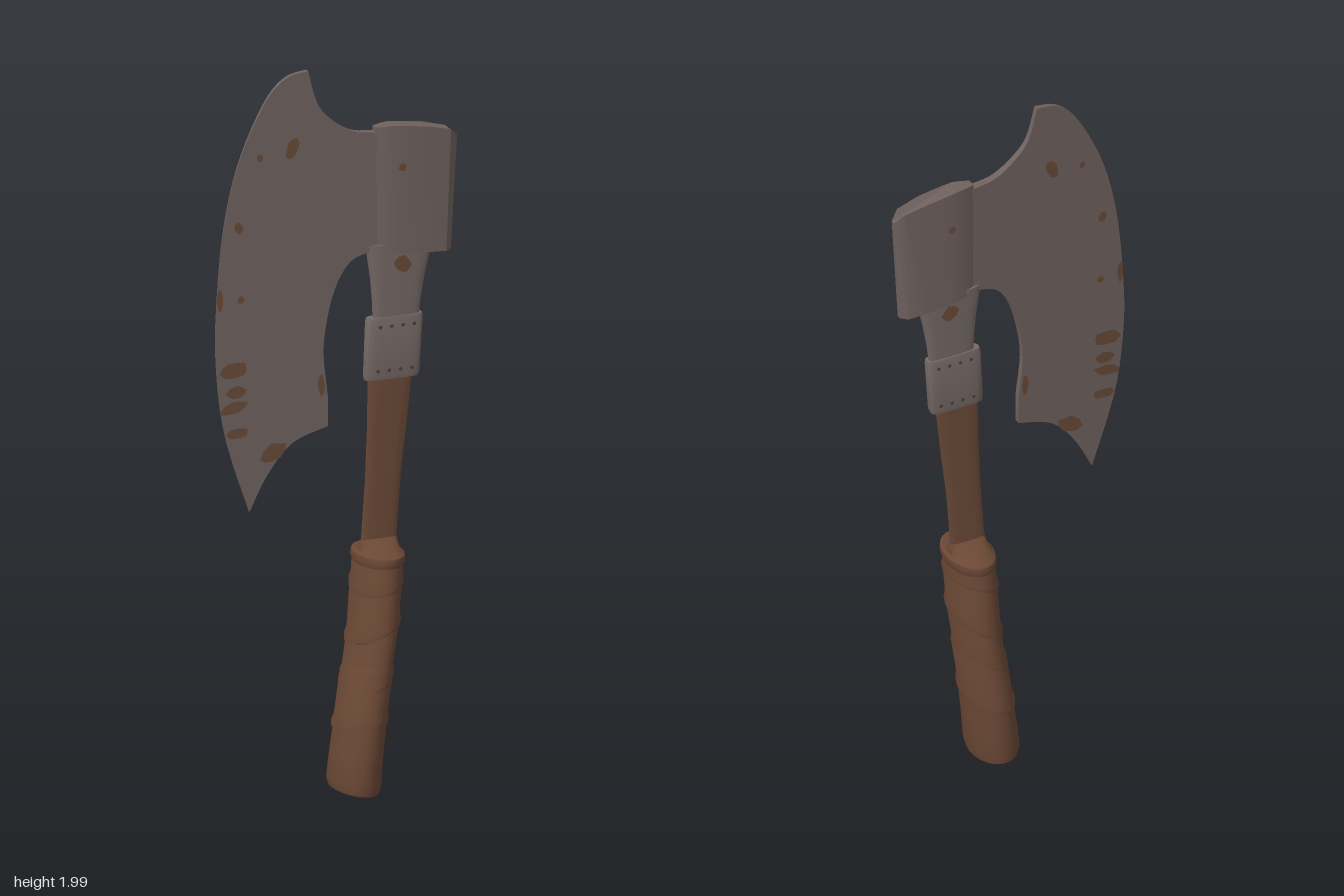
import * as THREE from 'three';
import { toCreasedNormals } from 'three/addons/utils/BufferGeometryUtils.js';

const mat = (name, color, side = THREE.FrontSide) => {
  const m = new THREE.MeshStandardMaterial({ color, side });
  m.name = name;
  return m;
};

// Piecewise linear lookup in a list of [input, output]
function lookup(table, v) {
  for (let i = 1; i < table.length; i++) {
    const [a, fa] = table[i - 1], [b, fb] = table[i];
    if (v <= b) return fa + (fb - fa) * Math.max(0, (v - a) / (b - a));
  }
  return table[table.length - 1][1];
}

// Closed loft through rings [y, centreX, radiusX, radiusZ, tiltX, tiltZ]; power < 1 squares the ring
function loft(rings, sides = 28, power = 1) {
  const pos = [], idx = [];
  const bend = (v) => Math.sign(v) * Math.abs(v) ** power;
  rings.forEach(([y, cx, rx, rz, tx = 0, tz = 0]) => {
    for (let j = 0; j < sides; j++) {
      const t = (j / sides) * Math.PI * 2, c = bend(Math.cos(t)), s = bend(Math.sin(t));
      pos.push(cx + rx * c, y + tx * c + tz * s, rz * s);
    }
  });
  const last = rings.length - 1, low = pos.length / 3, high = low + 1;
  pos.push(rings[0][1], rings[0][0], 0, rings[last][1], rings[last][0], 0);
  for (let j = 0; j < sides; j++) {
    const k = (j + 1) % sides;
    for (let i = 0; i < last; i++) {
      const a = i * sides + j, b = i * sides + k;
      idx.push(a, a + sides, b, b, a + sides, b + sides);
    }
    idx.push(low, j, k, high, last * sides + k, last * sides + j);
  }
  const g = new THREE.BufferGeometry();
  g.setAttribute('position', new THREE.Float32BufferAttribute(pos, 3));
  g.setIndex(idx);
  return toCreasedNormals(g, 0.7);
}

// Move every vertex by a rule
function warp(g, rule) {
  const p = g.attributes.position, v = new THREE.Vector3();
  for (let i = 0; i < p.count; i++) {
    rule(v.fromBufferAttribute(p, i));
    p.setXYZ(i, v.x, v.y, v.z);
  }
  g.computeVertexNormals();
  return g;
}

const bladeHalf = (x) => lookup([[-0.345, 0.001], [-0.1, 0.007], [0.1, 0.012], [0.2, 0.013]], x);

export function createModel() {
  const model = new THREE.Group();
  model.name = 'axe';
  const steel = mat('steel', 0x6f625e);
  const collarSteel = mat('collarSteel', 0x766a66);
  const darkSteel = mat('darkSteel', 0x4a403c);
  const rust = mat('rust', 0x674a36, THREE.DoubleSide);
  const wood = mat('wood', 0x6a4937);
  const leather = mat('leather', 0x6b4835);
  const add = (name, geometry, material, parent = model) => {
    const m = new THREE.Mesh(geometry, material);
    m.name = name;
    parent.add(m);
    return m;
  };
  const pts = (list) => list.map(([x, y]) => new THREE.Vector2(x, y));

  // Bearded blade, tapering to the cutting edge
  const outline = new THREE.Shape();
  outline.moveTo(-0.085, 2.0);
  outline.splineThru(pts([[-0.15, 1.985], [-0.21, 1.92], [-0.28, 1.77], [-0.322, 1.6], [-0.342, 1.4],
    [-0.345, 1.23], [-0.32, 1.03], [-0.25, 0.81]]));
  outline.splineThru(pts([[-0.2, 0.905], [-0.13, 0.985], [-0.03, 1.02]]));
  outline.splineThru(pts([[-0.03, 1.1], [-0.042, 1.24], [-0.015, 1.38], [0.03, 1.46], [0.08, 1.482]]));
  outline.lineTo(0.14, 1.48);
  outline.lineTo(0.14, 1.81);
  outline.lineTo(0.1, 1.81);
  outline.splineThru(pts([[0.04, 1.82], [-0.02, 1.86], [-0.06, 1.91], [-0.085, 2.0]]));
  const blade = new THREE.ExtrudeGeometry(outline, { depth: 1, bevelEnabled: false, curveSegments: 4 });
  warp(blade, (v) => { v.z = (v.z - 0.5) * 2 * bladeHalf(v.x); });
  add('blade', toCreasedNormals(blade, 0.5), steel);

  // Head socket: plan section extruded upward, its top and bottom sloping
  const plan = [[0.105, 0.011], [0.125, 0.018], [0.15, 0.023], [0.18, 0.025], [0.25, 0.0245], [0.315, 0.02], [0.338, 0.006]];
  const section = new THREE.Shape(pts([
    ...plan.map(([x, z]) => [x, -z]),
    ...plan.slice().reverse(),
  ]));
  const head = new THREE.ExtrudeGeometry(section, { depth: 1, bevelEnabled: false });
  head.rotateX(-Math.PI / 2);
  warp(head, (v) => {
    const low = lookup([[0.1, 1.482], [0.3, 1.462], [0.34, 1.465]], v.x);
    const high = lookup([[0.1, 1.822], [0.15, 1.825], [0.25, 1.812], [0.315, 1.795], [0.34, 1.77]], v.x);
    const t = v.y;
    v.y = low + (high - low) * t;
    // the poll leans inward toward the bottom
    if (v.x > 0.25) v.x -= 0.018 * (1 - t) * (v.x - 0.25) / 0.09;
  });
  add('head', toCreasedNormals(head, 0.45), steel);

  // Steel neck below the head and the riveted collar
  add('neck', loft([[1.27, 0.165, 0.063, 0.012], [1.34, 0.168, 0.068, 0.014],
    [1.41, 0.171, 0.077, 0.017], [1.5, 0.175, 0.094, 0.02]], 20, 0.55), collarSteel);
  add('collar', loft([[1.13, 0.152, 0.074, 0.016], [1.14, 0.153, 0.077, 0.018],
    [1.29, 0.161, 0.079, 0.018], [1.3, 0.162, 0.077, 0.016]], 24, 0.45), collarSteel);
  const rivets = new THREE.Group();
  rivets.name = 'rivets';
  model.add(rivets);
  for (const side of [-1, 1]) for (const y of [1.155, 1.275]) for (let i = 0; i < 4; i++) {
    const r = new THREE.CylinderGeometry(0.005, 0.005, 0.004, 8);
    r.rotateX(Math.PI / 2);
    add('rivet', r, darkSteel, rivets)
      .position.set(0.108 + i * 0.032 + (y - 1.15) * 0.06, y, side * 0.0175);
  }

  // Flat wooden haft
  add('haft', loft([[0.6, 0.112, 0.052, 0.012], [0.7, 0.118, 0.05, 0.01], [0.85, 0.129, 0.05, 0.01],
    [1.0, 0.141, 0.056, 0.011], [1.15, 0.15, 0.063, 0.012]], 20, 0.65), wood);

  // Leather grip: overlapping bands, each flared at its lower seam [low, high, tiltX, tiltZ, swell]
  const gripX = (y) => lookup([[0, 0.046], [0.2, 0.064], [0.45, 0.1], [0.66, 0.116]], y);
  const grip = new THREE.Group();
  grip.name = 'grip';
  model.add(grip);
  [[0.19, 0.36, 0.008, 0.012, 0.003], [0.31, 0.47, 0.03, -0.01, 0],
    [0.44, 0.6, 0.028, 0.012, 0.002], [0.57, 0.655, 0.018, -0.008, 0]].forEach(([lo, hi, tx, tz, swell]) => {
    const ring = (y, d, k = 1) => [y, gripX(y), 0.061 + d + swell, 0.097 + d + swell, tx * k, tz * k];
    const end = hi > 0.64 ? 0.1 : 0.7;
    add('gripBand', loft([ring(lo, -0.006), ring(lo + 0.003, 0.004), ring(lo + 0.016, 0.005),
      ring(lo + 0.035, 0), ring(hi - 0.02, 0, end), ring(hi, -0.006, end)]), leather, grip);
  });
  add('gripEnd', loft([[0.012, 0.046, 0.05, 0.085, -0.006, 0], [0.018, 0.046, 0.061, 0.094, -0.007, 0],
    [0.04, 0.047, 0.067, 0.098, -0.004, 0], [0.12, 0.055, 0.065, 0.097], [0.22, 0.068, 0.062, 0.096]]), leather, grip);
  // Raised rim and the leather drawn in around the haft
  add('gripRim', loft([[0.63, 0.114, 0.06, 0.095], [0.645, 0.115, 0.066, 0.101], [0.66, 0.116, 0.064, 0.098],
    [0.666, 0.116, 0.055, 0.085], [0.68, 0.117, 0.053, 0.04], [0.695, 0.118, 0.051, 0.013]]), leather, grip);

  // Rust patches on both faces [x, y, width, height, turn]
  const patches = new THREE.Group();
  patches.name = 'rustPatches';
  model.add(patches);
  const patch = ([x, y, w, h, turn = 0], half) => {
    for (const side of [-1, 1]) {
      const g = new THREE.CircleGeometry(0.5, 9);
      warp(g, (v) => {
        const k = 1 + 0.18 * Math.sin(v.x * 17 + v.y * 11 + y * 40);
        const px = v.x * w * k, py = v.y * h * k;
        v.x = x + px * Math.cos(turn) - py * Math.sin(turn);
        v.y = y + px * Math.sin(turn) + py * Math.cos(turn);
        v.z = side * (half(v.x) + 0.0012);
      });
      if (side < 0) {
        g.setIndex(Array.from(g.index.array).reverse());
        g.computeVertexNormals();
      }
      add('rustPatch', g, rust, patches);
    }
  };
  [[-0.13, 1.79, 0.035, 0.065, -0.4], [-0.22, 1.775, 0.018, 0.022], [-0.28, 1.59, 0.025, 0.03],
    [-0.334, 1.4, 0.016, 0.06], [-0.275, 1.395, 0.018, 0.02], [-0.297, 1.205, 0.075, 0.045],
    [-0.285, 1.14, 0.06, 0.035, 0.2], [-0.295, 1.1, 0.075, 0.03, 0.3], [-0.285, 1.03, 0.065, 0.03],
    [-0.18, 0.965, 0.08, 0.045, 0.6], [-0.048, 1.13, 0.02, 0.06]].forEach((p) => patch(p, bladeHalf));
  patch([0.175, 1.71, 0.02, 0.02], () => 0.025);
  patch([0.18, 1.44, 0.05, 0.045], () => 0.019);

  // Rest the grip on the ground
  const box = new THREE.Box3().setFromObject(model);
  model.children.forEach((c) => { c.position.y -= box.min.y; });
  return model;
}
